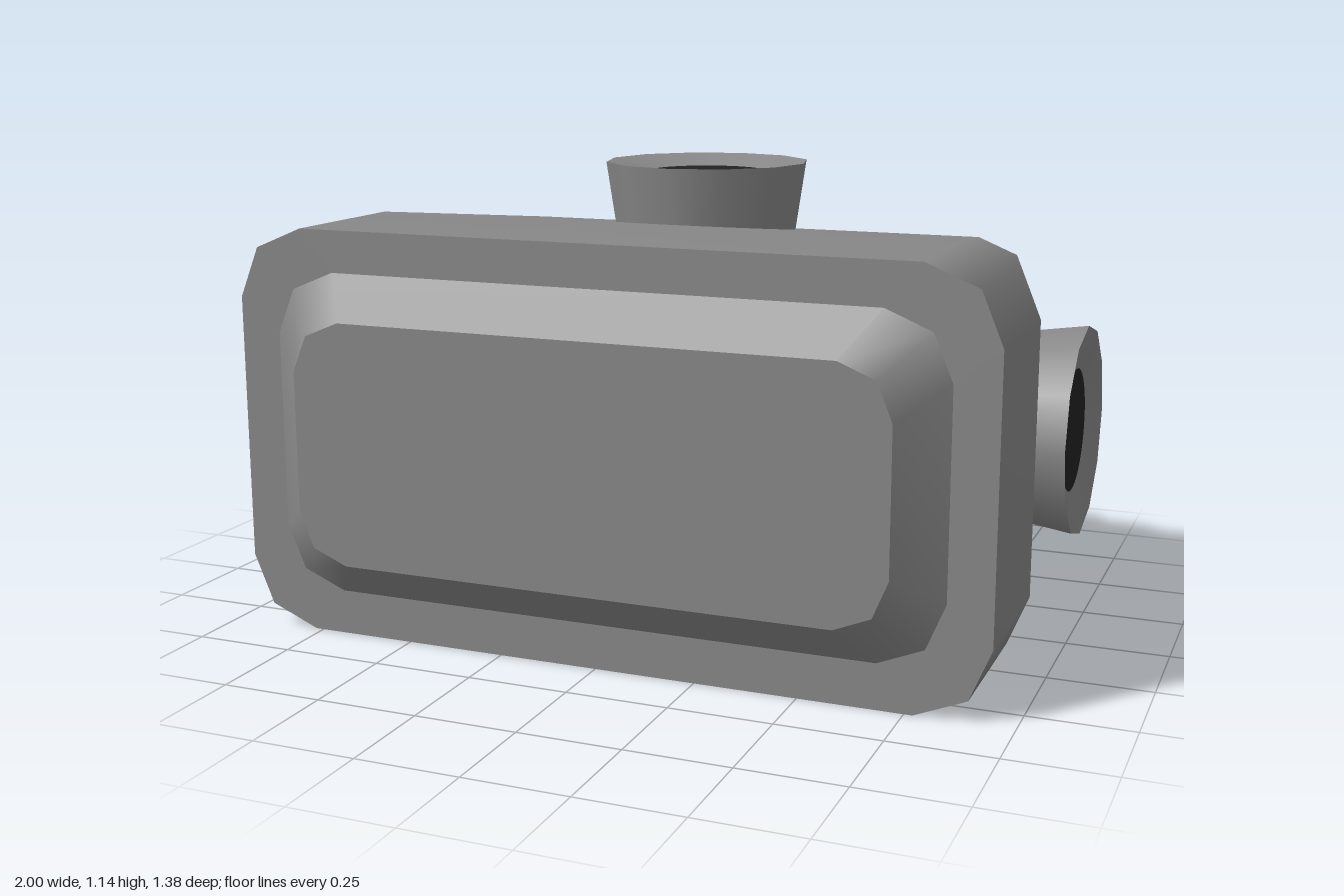
import * as THREE from 'three';

const grey = new THREE.MeshStandardMaterial({ color: 0x888888 });
grey.name = 'grey casing';
const dark = new THREE.MeshStandardMaterial({ color: 0x222222 });
dark.name = 'dark opening';

// Rounded rectangle of 12 points, anticlockwise seen from the front
function section(z, halfWidth, bottom, top, radius) {
  const points = [];
  const cy = (bottom + top) / 2, halfHeight = (top - bottom) / 2;
  [[1, 1], [-1, 1], [-1, -1], [1, -1]].forEach(([sx, sy], corner) => {
    for (let k = 0; k < 3; k++) {
      const a = (corner + k / 2) * Math.PI / 2;
      points.push([
        sx * (halfWidth - radius) + radius * Math.cos(a),
        cy + sy * (halfHeight - radius) + radius * Math.sin(a), z]);
    }
  });
  return points;
}

// Smooth skin over sections listed from front to back
function skin(name, ...sections) {
  const n = sections[0].length, index = [];
  for (let s = 0; s < sections.length - 1; s++) {
    for (let i = 0; i < n; i++) {
      const a = s * n + i, b = s * n + (i + 1) % n;
      index.push(a, a + n, b, b, a + n, b + n);
    }
  }
  const geometry = new THREE.BufferGeometry();
  geometry.setAttribute('position', new THREE.Float32BufferAttribute(sections.flat(2), 3));
  geometry.setIndex(index);
  geometry.computeVertexNormals();
  const mesh = new THREE.Mesh(geometry, grey);
  mesh.name = name;
  return mesh;
}

// Flared port pointing up, its rim at the origin
function port(name, depth, baseRadius) {
  const group = new THREE.Group();
  group.name = name;
  const lathe = (part, profile) => {
    const points = profile.map(([r, y]) => new THREE.Vector2(r, y));
    const mesh = new THREE.Mesh(new THREE.LatheGeometry(points, 12), grey);
    mesh.name = part;
    group.add(mesh);
  };
  lathe('flare', [[baseRadius, -depth], [0.263, 0]]);
  lathe('dishedRim', [[0.263, 0], [0.212, -0.012], [0.14, -0.032]]);
  const hole = new THREE.Mesh(new THREE.CircleGeometry(0.153, 40).rotateX(-Math.PI / 2), dark);
  hole.name = 'opening';
  hole.position.y = -0.026;
  group.add(hole);
  return group;
}

export function createModel() {
  const model = new THREE.Group();
  model.name = 'portedHousing';

  // Casing: straight front half, tapering rear half
  const front = section(0.59, 0.945, 0, 1.01, 0.175);
  const waist = section(0.2, 0.945, 0, 1.01, 0.175);
  const rear = section(-0.48, 0.79, 0.085, 0.93, 0.147);
  model.add(skin('casing', front, waist, rear));

  // Raised front panel with bevelled edge
  const bevelBase = section(0.59, 0.84, 0.11, 0.907, 0.155);
  const panel = section(0.69, 0.737, 0.21, 0.805, 0.125);
  model.add(
    skin('frontPanel', section(0.69, 0, 0.507, 0.507, 0), panel),
    skin('frontBevel', panel, bevelBase),
    skin('frontFrame', bevelBase, front));

  // Raised rear plate with bevelled edge
  const plateBase = section(-0.48, 0.735, 0.14, 0.875, 0.135);
  const plate = section(-0.59, 0.68, 0.19, 0.825, 0.12);
  model.add(
    skin('rearFrame', rear, plateBase),
    skin('rearBevel', plateBase, plate),
    skin('rearPlate', plate, section(-0.59, 0, 0.507, 0.507, 0)));

  // Top port
  const top = port('topPort', 0.22, 0.23);
  top.position.set(0, 1.14, -0.135);
  model.add(top);

  // Side and rear ports, mirrored left and right
  for (const [side, s] of [['left', 1], ['right', -1]]) {
    const lateral = port(side + 'SidePort', 0.22, 0.23);
    lateral.position.set(s, 0.507, -0.135);
    lateral.rotation.z = -s * Math.PI / 2;
    const back = port(side + 'RearPort', 0.1, 0.227);
    back.position.set(s * 0.37, 0.507, -0.69);
    back.rotation.x = -Math.PI / 2;
    model.add(lateral, back);
  }
  return model;
}
